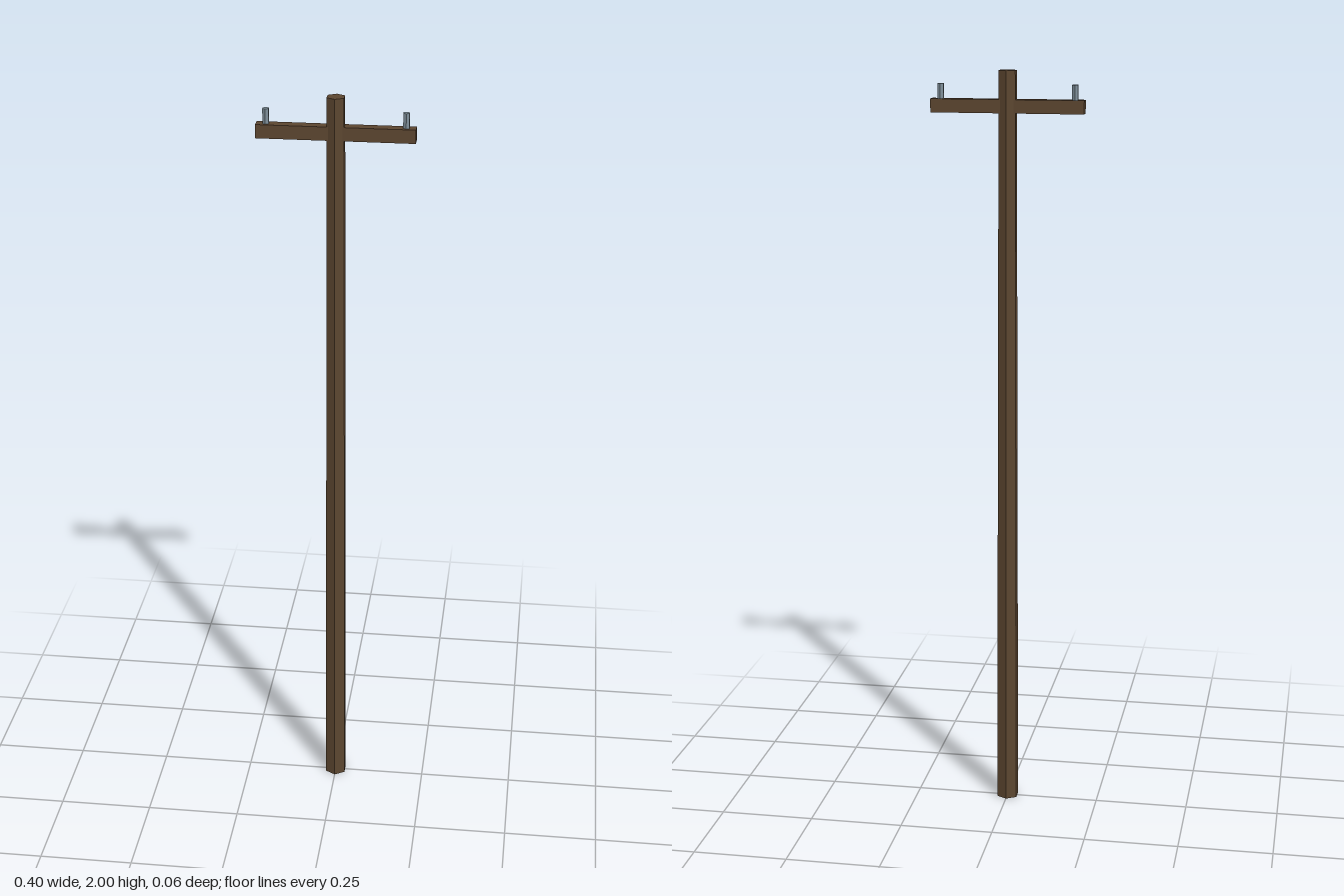
import * as THREE from 'three';

export function createModel() {
  const model = new THREE.Group();
  model.name = 'utilityPole';

  const wood = new THREE.MeshStandardMaterial({ color: 0x5c4630, flatShading: true });
  const glass = new THREE.MeshStandardMaterial({ color: 0x7f909a, flatShading: true });

  const add = (name, geometry, material, x, y) => {
    const mesh = new THREE.Mesh(geometry, material);
    mesh.name = name;
    mesh.position.set(x, y, 0);
    model.add(mesh);
  };

  // Tapered six-sided pole
  add('pole', new THREE.CylinderGeometry(0.025, 0.031, 2, 6), wood, 0, 1);

  // Crossarm running through the pole near its top
  add('crossarm', new THREE.BoxGeometry(0.4, 0.035, 0.03), wood, 0, 1.909);

  // Insulator pegs standing on both ends of the crossarm
  for (const side of [-1, 1]) {
    add(side > 0 ? 'leftInsulator' : 'rightInsulator',
      new THREE.CylinderGeometry(0.009, 0.009, 0.04, 6), glass, side * 0.175, 1.945);
  }

  return model;
}
